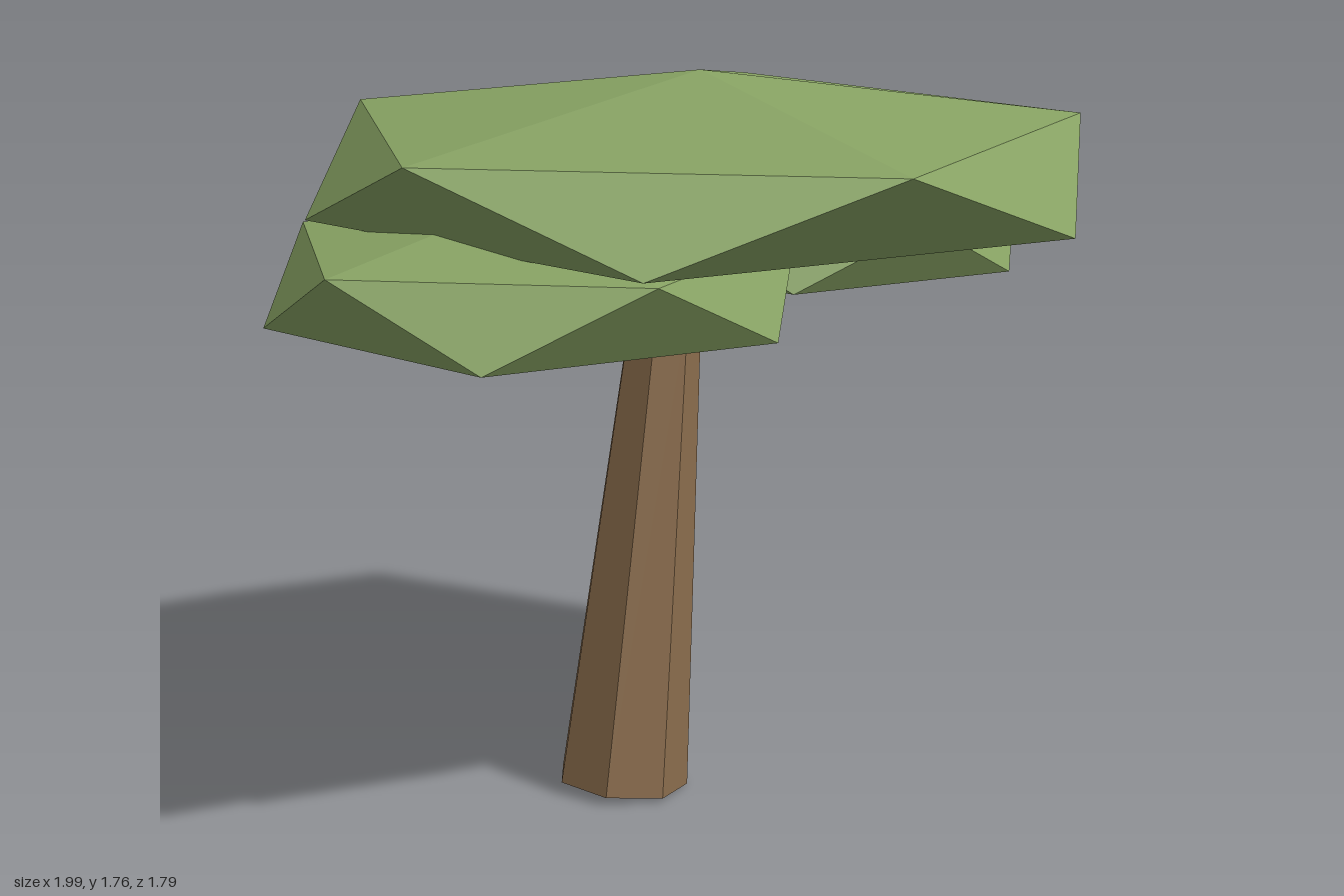
import * as THREE from 'three';

const foliage = new THREE.MeshStandardMaterial({ color: 0x87a263, flatShading: true });
foliage.name = 'leaf green';
const bark = new THREE.MeshStandardMaterial({ color: 0x8c6e4e, flatShading: true });
bark.name = 'bark brown';

// Flattened icosahedron standing on a vertex, with an upper-ring corner toward +x
function leafClump(name, x, y, z, radius, halfHeight) {
  const geometry = new THREE.IcosahedronGeometry(1, 0);
  geometry.rotateZ(-Math.atan(2 / (1 + Math.sqrt(5))));
  geometry.scale(radius, halfHeight, radius);
  geometry.computeVertexNormals();
  const mesh = new THREE.Mesh(geometry, foliage);
  mesh.name = name;
  mesh.position.set(x, y, z);
  return mesh;
}

// Seven-sided tapered trunk between two points
function leaningTrunk(bottom, top, bottomRadius, topRadius) {
  const axis = top.clone().sub(bottom);
  const geometry = new THREE.CylinderGeometry(topRadius, bottomRadius, axis.length(), 7);
  geometry.rotateY(Math.PI / 7 + 0.052);
  const mesh = new THREE.Mesh(geometry, bark);
  mesh.name = 'trunk';
  mesh.quaternion.setFromUnitVectors(new THREE.Vector3(0, 1, 0), axis.normalize());
  mesh.position.copy(bottom).add(top).multiplyScalar(0.5);
  return mesh;
}

export function createModel() {
  const tree = new THREE.Group();
  tree.name = 'tree';
  tree.add(
    leaningTrunk(new THREE.Vector3(-0.147, 0.017, 0.037), new THREE.Vector3(-0.035, 1.212, 0.031), 0.163, 0.087),
    leafClump('topCanopy', 0.055, 1.536, 0, 1.051, 0.229),
    leafClump('rightCanopy', -0.38, 1.316, 0.225, 0.693, 0.2),
    leafClump('leftCanopy', 0.39, 1.343, -0.24, 0.576, 0.174),
  );
  return tree;
}
